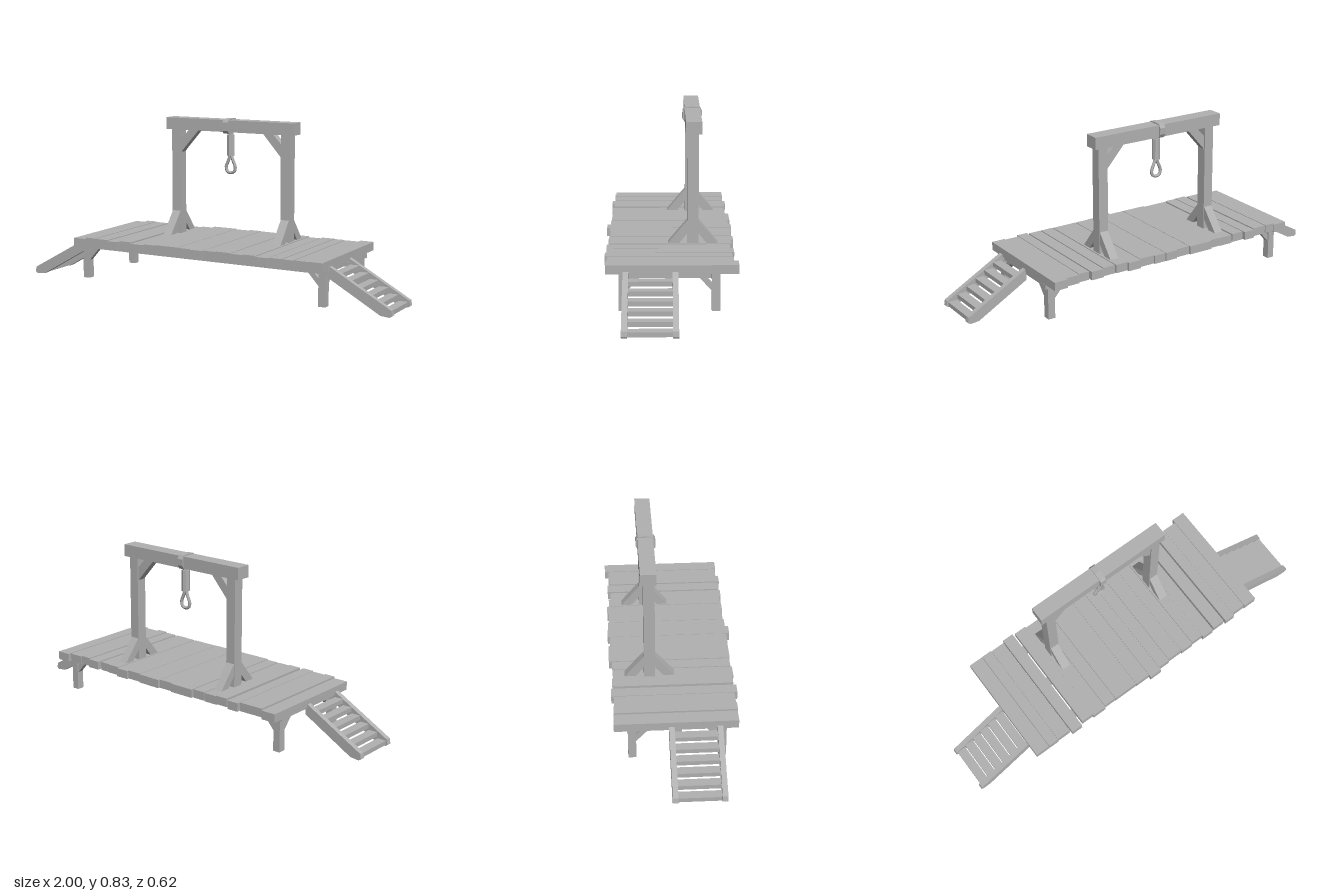
import * as THREE from 'three';

export function createModel() {
  const model = new THREE.Group();
  const wood = new THREE.MeshStandardMaterial({ color: 0xb0b0b0 });
  wood.name = 'weathered grey';
  wood.flatShading = true;

  function add(name, geometry) {
    const mesh = new THREE.Mesh(geometry, wood);
    mesh.name = name;
    model.add(mesh);
    return mesh;
  }
  // Box given by its lower and upper limits on each axis
  function box(name, x0, x1, y0, y1, z0, z1) {
    const mesh = add(name, new THREE.BoxGeometry(x1 - x0, y1 - y0, z1 - z0));
    mesh.position.set((x0 + x1) / 2, (y0 + y1) / 2, (z0 + z1) / 2);
    return mesh;
  }
  function prism(points, depth) {
    const shape = new THREE.Shape(points.map(p => new THREE.Vector2(...p)));
    return new THREE.ExtrudeGeometry(shape, { depth, bevelEnabled: false }).translate(0, 0, -depth / 2);
  }
  // Profile in x, y with thickness along z
  function prismXY(name, points, z, depth) {
    add(name, prism(points, depth).translate(0, 0, z));
  }
  // Profile in z, y with thickness along x
  function prismZY(name, points, x, depth) {
    add(name, prism(points, depth).rotateY(-Math.PI / 2).translate(x, 0, 0));
  }

  // Deck planks: x start, x end, back z, front z, drop
  const planks = [
    [-0.695, -0.62, -0.295, 0.285, 0.008], [-0.62, -0.565, -0.293, 0.287, 0],
    [-0.565, -0.49, -0.29, 0.283, 0.002], [-0.485, -0.425, -0.302, 0.298, 0.004],
    [-0.415, -0.35, -0.295, 0.285, 0], [-0.35, -0.275, -0.29, 0.292, 0.006],
    [-0.275, -0.21, -0.292, 0.285, 0.003], [-0.21, -0.08, -0.308, 0.288, 0],
    [-0.08, 0, -0.298, 0.29, 0.001], [0, 0.065, -0.31, 0.306, 0],
    [0.065, 0.13, -0.306, 0.29, 0.001], [0.13, 0.21, -0.3, 0.285, 0],
    [0.21, 0.28, -0.308, 0.29, 0.002], [0.28, 0.345, -0.298, 0.285, 0],
    [0.345, 0.41, -0.288, 0.295, 0.003], [0.417, 0.483, -0.302, 0.29, 0.001],
    [0.49, 0.545, -0.29, 0.298, 0], [0.545, 0.62, -0.295, 0.285, 0.002],
    [0.62, 0.69, -0.314, 0.29, 0],
  ];
  for (const [x0, x1, z0, z1, drop] of planks) {
    box('deckPlank', x0, x1 - 0.001, 0.193 - drop, 0.235 - drop, z0, z1);
  }

  // Beams beneath the deck
  for (const z of [-0.21, 0, 0.21]) box('deckRail', -0.69, 0.69, 0.17, 0.195, z - 0.02, z + 0.02);

  for (const s of [-1, 1]) {
    box('endBeam', s * 0.66 - 0.018, s * 0.66 + 0.018, 0.171, 0.195, -0.228, 0.228);

    // Legs with a brace in each direction
    for (const t of [-1, 1]) {
      box('leg', s * 0.66 - 0.018, s * 0.66 + 0.018, 0.015, 0.19, t * 0.211 - 0.019, t * 0.211 + 0.019);
      prismXY('legLongBrace', [[0.645, 0.105], [0.585, 0.172], [0.617, 0.172], [0.645, 0.142]]
        .map(([x, y]) => [s * x, y]), t * 0.211, 0.026);
      prismZY('legCrossBrace', [[0.195, 0.105], [0.135, 0.172], [0.167, 0.172], [0.195, 0.142]]
        .map(([z, y]) => [t * z, y]), s * 0.66, 0.026);
    }

    // Stairs
    for (const z of [-0.027, 0.198]) {
      prismXY('stairStringer', [[0.685, 0.207], [0.995, 0.034], [1, 0.008], [0.988, 0], [0.943, 0.004], [0.685, 0.15]]
        .map(([x, y]) => [s * x, y]), z, 0.026);
    }
    for (let i = 0; i < 6; i++) {
      const x = 0.967 - i * 0.0495, y = 0.017 + i * 0.0295;
      box('stairTread', s * x - 0.023, s * x + 0.023, y - 0.011, y + 0.011, -0.018, 0.188);
    }

    // Uprights with foot braces and an upper brace
    box('upright', s * 0.311 - 0.025, s * 0.311 + 0.025, 0.2, 0.77, -0.14, -0.086);
    for (const t of [-1, 1]) {
      prismZY('footBrace', [[0.025, 0.348], [0.12, 0.233], [0.067, 0.233], [0.025, 0.285]]
        .map(([z, y]) => [-0.113 + t * z, y]), s * 0.311, 0.045);
    }
    prismXY('upperBrace', [[0.288, 0.648], [0.182, 0.768], [0.238, 0.768], [0.288, 0.715]]
      .map(([x, y]) => [s * x, y]), -0.113, 0.04);
  }

  // Crossbeam
  box('crossbeam', -0.365, 0.36, 0.766, 0.826, -0.154, -0.078);

  // Rope wound around the crossbeam
  const wrap = new THREE.Shape([[-0.162, 0.78], [-0.152, 0.762], [-0.078, 0.758], [-0.067, 0.772],
    [-0.067, 0.815], [-0.077, 0.829], [-0.115, 0.833], [-0.152, 0.831], [-0.163, 0.812]]
    .map(p => new THREE.Vector2(...p)));
  add('ropeWrap', new THREE.ExtrudeGeometry(wrap, { depth: 0.03, bevelEnabled: false })
    .rotateY(-Math.PI / 2).translate(0, 0, 0));
  model.getObjectByName('ropeWrap').position.x = 0;

  // Hanging rope, bound section and loop
  const rope = (name, r, y0, y1) => add(name, new THREE.CylinderGeometry(r, r, y1 - y0, 8))
    .position.set(-0.009, (y0 + y1) / 2, -0.115);
  rope('hangingRope', 0.013, 0.73, 0.77);
  rope('ropeBinding', 0.02, 0.645, 0.75);
  const loop = new THREE.CatmullRomCurve3([[0, 0.65], [-0.011, 0.625], [-0.026, 0.585], [-0.018, 0.563],
    [0, 0.558], [0.018, 0.563], [0.026, 0.585], [0.011, 0.625]]
    .map(([x, y]) => new THREE.Vector3(x - 0.009, y, -0.115)), true);
  add('ropeLoop', new THREE.TubeGeometry(loop, 20, 0.008, 6, true));

  return model;
}
